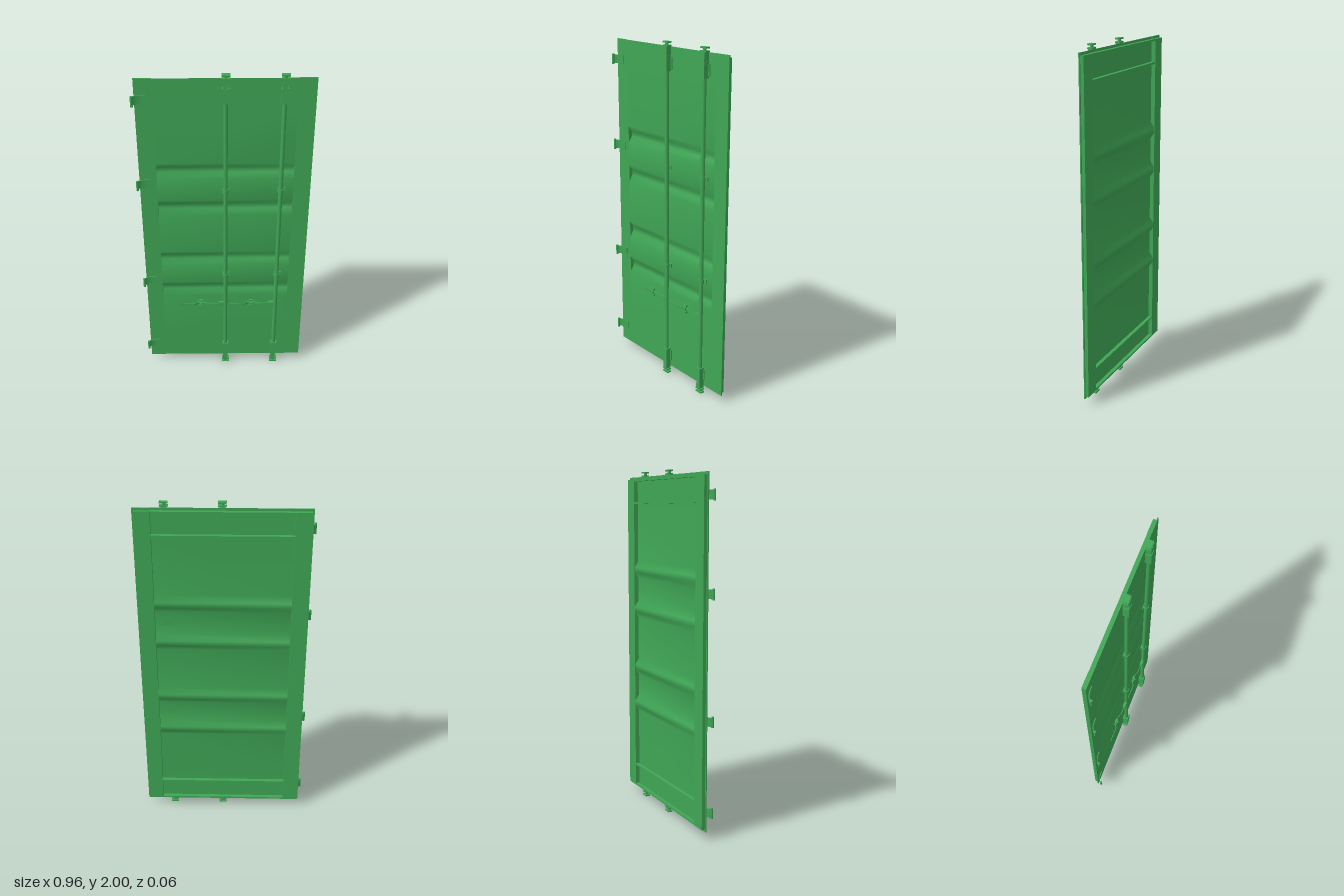
import * as THREE from 'three';

const green = new THREE.MeshStandardMaterial({ color: 0x3fa655 });
const greenThin = new THREE.MeshStandardMaterial({ color: 0x3fa655, side: THREE.DoubleSide });

function add(parent, name, geometry, material = green) {
  const mesh = new THREE.Mesh(geometry, material);
  mesh.name = name;
  parent.add(mesh);
  return mesh;
}

// Box given by its limits on each axis
function box(parent, name, x0, x1, y0, y1, z0, z1) {
  const mesh = add(parent, name, new THREE.BoxGeometry(x1 - x0, y1 - y0, z1 - z0));
  mesh.position.set((x0 + x1) / 2, (y0 + y1) / 2, (z0 + z1) / 2);
  return mesh;
}

function cylinder(parent, name, r, y0, y1, x, z, sides = 16) {
  const mesh = add(parent, name, new THREE.CylinderGeometry(r, r, y1 - y0, sides));
  mesh.position.set(x, (y0 + y1) / 2, z);
  return mesh;
}

// Bent strip: a path of [x, z] points given thickness, and height along y
function strip(parent, name, path, thickness, height, y) {
  const h = thickness / 2;
  const outline = [
    ...path.map(([x, z]) => new THREE.Vector2(x, z - h)),
    ...path.slice().reverse().map(([x, z]) => new THREE.Vector2(x, z + h)),
  ];
  const geometry = new THREE.ExtrudeGeometry(new THREE.Shape(outline), { depth: height, bevelEnabled: false });
  geometry.rotateX(Math.PI / 2);
  const mesh = add(parent, name, geometry);
  mesh.position.y = y + height / 2;
  return mesh;
}

const FRONT = -0.008, BACK = -0.033;
const LEFT = -0.465, RIGHT = 0.48, IN_L = -0.37, IN_R = 0.385;

function makePanel() {
  const panel = new THREE.Group();
  panel.name = 'doorPanel';

  // Side stiles: a front lip over a slightly smaller core
  for (const [a, b, name] of [[LEFT, IN_L, 'rightStile'], [IN_R, RIGHT, 'leftStile']]) {
    box(panel, name + 'Lip', a, b, 0.042, 1.972, -0.014, FRONT);
    box(panel, name, Math.max(a, LEFT + 0.008), Math.min(b, RIGHT - 0.008), 0.054, 1.958, BACK, -0.014);
  }

  // Channel flanges of the top and bottom rails
  for (const [y0, y1] of [[1.947, 1.958], [1.815, 1.827], [0.183, 0.195], [0.054, 0.065]]) {
    box(panel, 'railFlange', IN_L, IN_R, y0, y1, BACK + 0.001, FRONT - 0.002);
  }

  // Pressed sheet with four horizontal grooves, smoothly shaded
  const profile = [[1.972, FRONT], [1.82, FRONT]];
  for (const top of [1.47, 1.23, 0.87, 0.64]) {
    profile.push([top, FRONT], [top - 0.035, BACK + 0.002], [top - 0.065, BACK + 0.002], [top - 0.1, FRONT]);
  }
  profile.push([0.19, FRONT], [0.042, FRONT]);
  const sheet = new THREE.PlaneGeometry(IN_R - IN_L, 1, 1, profile.length - 1);
  const pos = sheet.attributes.position;
  profile.forEach(([y, z], i) => {
    for (const k of [2 * i, 2 * i + 1]) pos.setXYZ(k, pos.getX(k) + (IN_L + IN_R) / 2, y, z);
  });
  sheet.computeVertexNormals();
  add(panel, 'corrugatedSheet', sheet, greenThin);
  return panel;
}

// Curved hinge blade with a flared tip
function makeHinge(y) {
  const hinge = new THREE.Group();
  hinge.name = 'hinge';
  const curve = new THREE.QuadraticBezierCurve(
    new THREE.Vector2(-0.405, -0.006), new THREE.Vector2(-0.468, -0.007), new THREE.Vector2(-0.478, 0.018));
  const path = curve.getPoints(8).map((p) => [p.x, p.y]);
  strip(hinge, 'hingeBlade', path, 0.005, 0.05, y);
  cylinder(hinge, 'hingeKnuckle', 0.007, y - 0.03, y + 0.03, -0.476, 0.018, 10);
  return hinge;
}

// Locking bar with its cams, guides and handle, built around x = 0
function makeLockingBar() {
  const bar = new THREE.Group();
  bar.name = 'lockingBar';
  const z = 0.009;
  cylinder(bar, 'rod', 0.012, 0.02, 1.98, 0, z);

  // Spool-shaped cams and long guide housings, mirrored top and bottom
  for (const s of [1, -1]) {
    const span = (a, b) => (s > 0 ? [a, b] : [2 - b, 2 - a]);
    for (const [a, b] of [[1.973, 1.981], [1.992, 2.0]]) {
      const [y0, y1] = span(a, b);
      box(bar, 'camPlate', -0.02, 0.024, y0, y1, -0.006, 0.022);
    }
    cylinder(bar, 'camCore', 0.009, ...span(1.975, 1.998), 0, z);
    box(bar, 'guideBase', -0.018, 0.028, ...span(1.85, 1.915), FRONT, -0.002);
    box(bar, 'guideHousing', -0.018, 0.018, ...span(1.84, 1.925), FRONT, 0.026);
    box(bar, 'guideNeck', -0.014, 0.014, ...span(1.925, 1.973), FRONT, 0.023);
  }

  // Small saddle brackets along the rod
  for (const y of [1.3, 0.705]) {
    box(bar, 'bracketBase', -0.02, 0.028, y - 0.013, y + 0.013, FRONT, -0.002);
    cylinder(bar, 'bracketSaddle', 0.016, y - 0.011, y + 0.011, 0, z);
  }

  // Handle, hinged on a hub beside the rod
  const handle = new THREE.Group();
  handle.name = 'handle';
  box(handle, 'handleHub', -0.042, -0.008, 0.463, 0.495, 0, 0.017);
  strip(handle, 'handleArm', [[-0.035, 0.009], [-0.09, 0.008], [-0.125, -0.003], [-0.165, -0.003], [-0.187, 0.012], [-0.2, 0.012]],
    0.004, 0.012, 0.478);
  strip(handle, 'handleGrip', [[-0.197, 0.012], [-0.278, 0.012]].reverse(), 0.004, 0.018, 0.478);

  // Retainer holding the handle to the door
  box(handle, 'retainerPlate', -0.17, -0.125, 0.472, 0.484, FRONT, -0.004);
  box(handle, 'retainerPost', -0.153, -0.141, 0.453, 0.503, FRONT, -0.003);
  for (const y of [0.458, 0.498]) box(handle, 'retainerLug', -0.158, -0.136, y - 0.005, y + 0.005, FRONT, 0.004);
  const pin = cylinder(handle, 'retainerPin', 0.008, 0.474, 0.482, -0.147, 0.003, 10);
  pin.scale.y = 1.8;
  bar.add(handle);
  return bar;
}

export function createModel() {
  const model = new THREE.Group();
  model.name = 'containerDoor';
  model.add(makePanel());
  for (const y of [1.855, 1.345, 0.66, 0.15]) model.add(makeHinge(y));
  for (const x of [0.008, 0.313]) {
    const bar = makeLockingBar();
    bar.position.x = x;
    model.add(bar);
  }
  return model;
}
